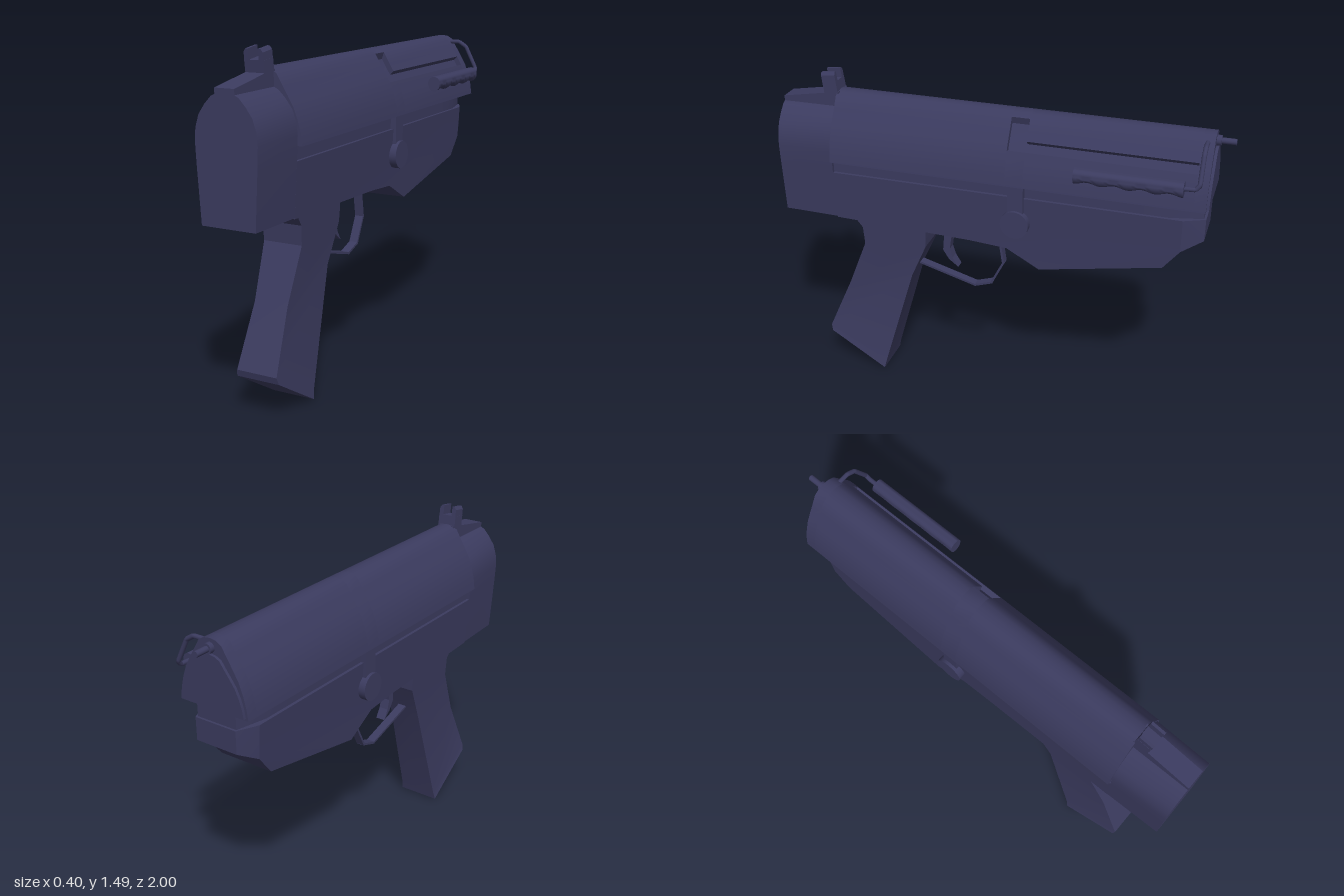
import * as THREE from 'three';
import { toCreasedNormals, mergeVertices } from 'three/addons/utils/BufferGeometryUtils.js';

const CX = -0.033; // centre plane of the body
const material = new THREE.MeshStandardMaterial({ color: 0x3b3b5f });

function add(parent, name, geometry, x = 0, y = 0, z = 0) {
  const mesh = new THREE.Mesh(geometry, material);
  mesh.name = name;
  mesh.position.set(x, y, z);
  parent.add(mesh);
  return mesh;
}

const toShape = (pts) => new THREE.Shape(pts.map(([x, y]) => new THREE.Vector2(x, y)));

// Extrude a front outline (x, y) from z0 to z1
function extrudeZ(pts, z0, z1) {
  const g = new THREE.ExtrudeGeometry(toShape(pts), { depth: z1 - z0, bevelEnabled: false });
  g.translate(0, 0, z0);
  return g;
}

// Extrude a side outline (z, y) across the width
function extrudeX(pts, width) {
  const g = new THREE.ExtrudeGeometry(toShape(pts), { depth: width, bevelEnabled: false });
  g.translate(0, 0, -width / 2);
  g.rotateY(-Math.PI / 2);
  return g;
}

// Move every vertex by a rule
function reshape(g, rule) {
  const p = g.attributes.position, v = new THREE.Vector3();
  for (let i = 0; i < p.count; i++) {
    rule(v.fromBufferAttribute(p, i));
    p.setXYZ(i, v.x, v.y, v.z);
  }
  g.computeVertexNormals();
  return g;
}

const mirror = (pts) => [...pts, ...pts.filter(([x]) => x > 0).reverse().map(([x, y]) => [-x, y])];

// Half outline of the shroud, bottom to crown
const ARCH = [[0.167, 1.12], [0.16, 1.17], [0.147, 1.22], [0.128, 1.27], [0.105, 1.31],
  [0.082, 1.347], [0.055, 1.393], [0.028, 1.408], [0, 1.412]];

// Shroud section, with a slot cut between two outline points on the +x side
function shroudSection(from, to) {
  const full = mirror(ARCH);
  if (from === undefined) return full;
  const inner = ARCH.slice(from, to + 1).map(([x, y]) => [x * 0.84, 1.2 + (y - 1.2) * 0.84]);
  return [...full.slice(0, from + 1), ...inner, ...full.slice(to)];
}

// Box-section loft: rows of back (z, y), front (z, y), half width
function loft(rows) {
  const pos = [], idx = [];
  for (const [bz, by, fz, fy, h] of rows) pos.push(-h, by, bz, h, by, bz, h, fy, fz, -h, fy, fz);
  for (let r = 0; r < rows.length - 1; r++) {
    for (let k = 0; k < 4; k++) {
      const a = r * 4 + k, b = r * 4 + (k + 1) % 4;
      idx.push(a, a + 4, b, b, a + 4, b + 4);
    }
  }
  const e = (rows.length - 1) * 4;
  idx.push(0, 1, 2, 0, 2, 3, e, e + 2, e + 1, e, e + 3, e + 2);
  const g = new THREE.BufferGeometry();
  g.setAttribute('position', new THREE.Float32BufferAttribute(pos, 3));
  g.setIndex(idx);
  return toCreasedNormals(g, 0.35);
}

export function createModel() {
  const model = new THREE.Group();
  const body = new THREE.Group();
  body.name = 'body';
  body.position.x = CX;
  model.add(body);

  // Upper shroud in lengths, two of them cut by the L-shaped slot
  const lengths = [[-0.07, 0.74], [-0.15, -0.07, 3, 6], [-0.87, -0.15, 3, 4], [-0.92, -0.87]];
  for (const [z0, z1, from, to] of lengths) {
    add(body, 'shroud', toCreasedNormals(extrudeZ(shroudSection(from, to), z0, z1), 0.6));
  }

  // Muzzle plate
  const plate = mirror(ARCH.map(([x, y]) => [x * 0.93, 1.13 + (y - 1.12) * 0.76]));
  add(body, 'muzzlePlate', toCreasedNormals(extrudeZ(plate, -0.932, -0.91), 0.6));

  // Recessed neck between shroud and receiver
  add(body, 'neck', reshape(new THREE.BoxGeometry(0.256, 0.08, 1.65, 1, 1, 12), (v) => {
    if (v.z < -0.75) v.x *= 0.75;
  }), 0, 1.09, -0.085);

  // Receiver: tapers downwards and at the nose
  const receiver = extrudeX([[0.74, 1.06], [0.74, 0.83], [0.1, 0.812], [-0.07, 0.8], [-0.22, 0.717],
    [-0.76, 0.82], [-0.83, 0.91], [-0.92, 0.96], [-0.92, 1.06], [-0.83, 1.06]], 2);
  add(body, 'receiver', toCreasedNormals(reshape(receiver, (v) => {
    let half = 0.128 + 0.014 * THREE.MathUtils.clamp((v.y - 0.83) / 0.23, 0, 1);
    if (v.z < -0.9) half = 0.1;
    v.x = Math.sign(v.x) * half;
  }), 0.3));

  // Rear cap, slightly narrower at its back face
  const capOutline = mirror([[0.128, 0.835], [0.142, 1.06], [0.147, 1.16], [0.142, 1.21],
    [0.125, 1.26], [0.095, 1.3], [0.065, 1.33], [0.045, 1.34]]);
  add(body, 'rearCap', toCreasedNormals(reshape(extrudeZ(capOutline, 0.74, 1), (v) => {
    if (v.z > 0.9) v.x *= 0.95;
  }), 0.6));

  // Sloping ramp and notched rear sight
  add(body, 'sightRamp', extrudeX([[1, 1.3], [1, 1.362], [0.8, 1.397], [0.73, 1.408], [0.73, 1.3]], 0.088));
  const sight = new THREE.Group();
  sight.name = 'rearSight';
  sight.position.set(0, 1.38, 0.765);
  sight.rotation.x = 0.13;
  body.add(sight);
  add(sight, 'sightBase', new THREE.BoxGeometry(0.088, 0.07, 0.065), 0, 0.035, 0);
  for (const s of [-1, 1]) {
    add(sight, 'sightPost', extrudeZ([[0.022 * s, 0.06], [0.043 * s, 0.06], [0.043 * s, 0.1],
      [0.034 * s, 0.113], [0.022 * s, 0.113]], -0.0325, 0.0325));
  }

  // Cross pin with its vertical tab
  const pin = new THREE.CylinderGeometry(0.063, 0.063, 0.336, 28);
  pin.rotateZ(Math.PI / 2);
  add(body, 'crossPin', pin, 0, 0.94, -0.115);
  add(body, 'pinTab', new THREE.BoxGeometry(0.308, 0.17, 0.07), 0, 1.035, -0.115);

  // Grip
  add(body, 'grip', loft([[0.69, 0.85, 0.325, 0.85, 0.098], [0.635, 0.775, 0.325, 0.77, 0.093],
    [0.63, 0.69, 0.328, 0.72, 0.09], [0.725, 0.46, 0.405, 0.55, 0.078],
    [0.84, 0.2, 0.555, 0.045, 0.094], [0.832, 0.17, 0.565, 0.003, 0.1]]));

  // Curved trigger
  add(body, 'trigger', extrudeX([[0.25, 0.83], [0.262, 0.75], [0.268, 0.68], [0.24, 0.635], [0.195, 0.6],
    [0.222, 0.645], [0.235, 0.69], [0.225, 0.76], [0.215, 0.83]], 0.045));

  // Trigger guard made of flat strips
  const guard = [[0.4, 0.595], [0.115, 0.515], [0.035, 0.542], [-0.022, 0.655], [0.003, 0.82]];
  for (let i = 0; i < guard.length - 1; i++) {
    const [z0, y0] = guard[i], [z1, y1] = guard[i + 1];
    const strip = add(body, 'triggerGuard',
      new THREE.BoxGeometry(0.04, 0.01, Math.hypot(z1 - z0, y1 - y0) + 0.006),
      0, (y0 + y1) / 2, (z0 + z1) / 2);
    strip.rotation.x = -Math.atan2(y1 - y0, z1 - z0);
  }

  // Hub and pin at the muzzle
  for (const [name, r, z0, z1] of [['hub', 0.022, -0.94, -0.87], ['muzzlePin', 0.013, -1, -0.93]]) {
    const g = new THREE.CylinderGeometry(r, r, z1 - z0, 12);
    g.rotateX(Math.PI / 2);
    add(body, name, g, 0, 1.375, (z0 + z1) / 2);
  }

  // Bent charging rod
  const rod = new THREE.CurvePath();
  const path = [[CX, 1.383, -0.89], [0.075, 1.383, -0.89], [0.112, 1.36, -0.89], [0.165, 1.255, -0.89],
    [0.168, 1.237, -0.875], [0.168, 1.235, -0.82]].map((p) => new THREE.Vector3(...p));
  for (let i = 0; i < path.length - 1; i++) rod.add(new THREE.LineCurve3(path[i], path[i + 1]));
  add(model, 'chargingRod', new THREE.TubeGeometry(rod, 40, 0.01, 8));

  // Handle with finger grooves along its underside
  const handle = new THREE.CylinderGeometry(0.03, 0.03, 0.45, 20, 32);
  handle.rotateX(Math.PI / 2);
  add(model, 'handle', toCreasedNormals(mergeVertices(reshape(handle, (v) => {
    if (v.y < -0.005) v.y *= 1.1 + 0.2 * Math.cos((v.z / 0.45) * Math.PI * 8);
  })), 0.7), 0.168, 1.235, -0.605);

  return model;
}
